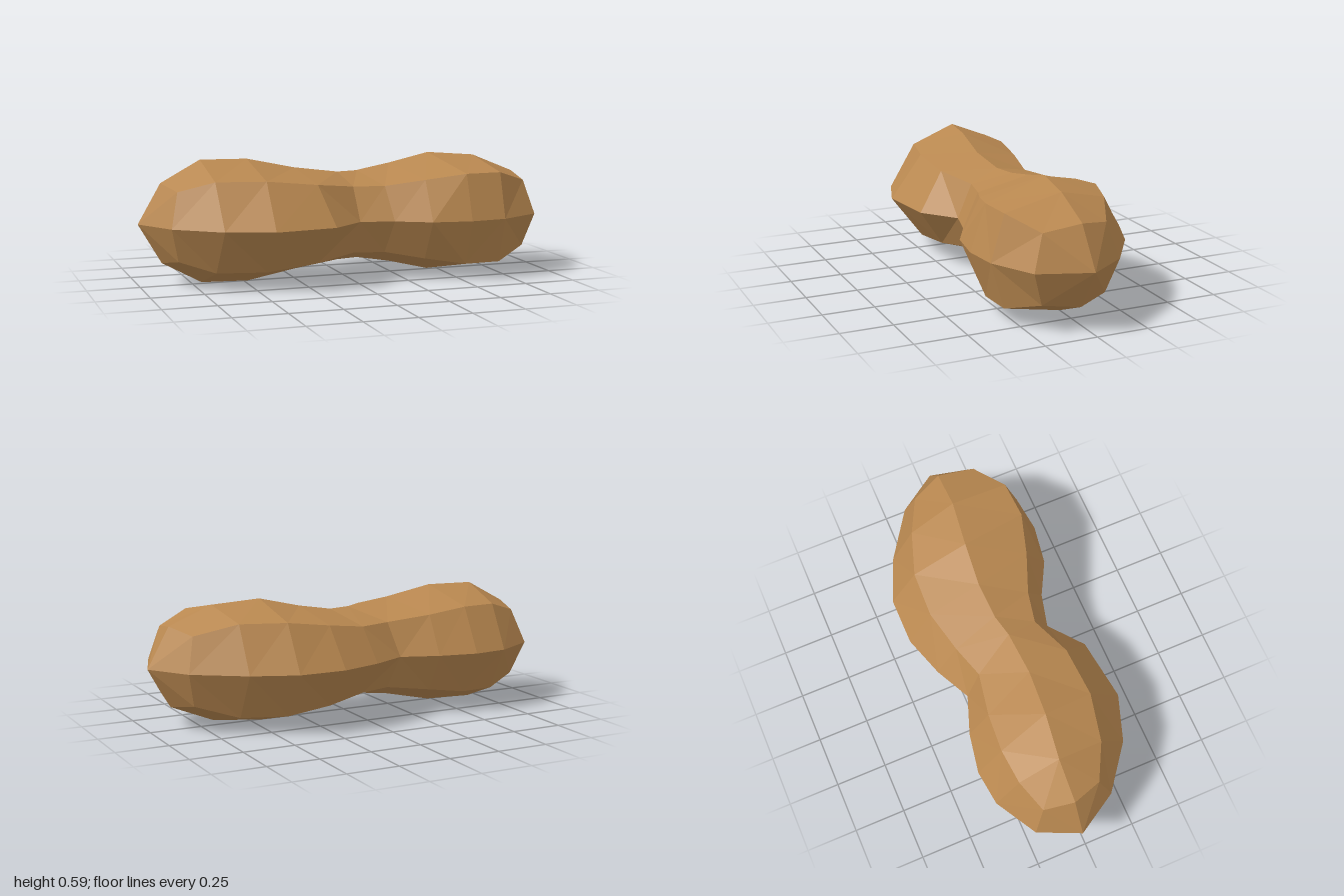
import * as THREE from 'three';

const MID = 0.294; // height of the seam; the shell mirrors above and below it

// Cross-sections from the right end (-x) to the left end (+x).
// Each row: front seam x,z | front shoulder x,z | crown x,z | back shoulder x,z | back seam x,z
const PLAN = [
  [-0.88, 0.17, -0.84, 0.115, -0.89, -0.03, -0.86, -0.175, -0.91, -0.23],
  [-0.67, 0.33, -0.68, 0.195, -0.70, -0.03, -0.71, -0.23, -0.71, -0.345],
  [-0.45, 0.405, -0.45, 0.245, -0.48, 0.0, -0.54, -0.245, -0.54, -0.365],
  [-0.15, 0.365, -0.20, 0.235, -0.25, 0.02, -0.35, -0.23, -0.35, -0.33],
  [0.01, 0.235, 0.0, 0.16, -0.03, 0.01, -0.14, -0.19, -0.17, -0.265],
  [0.17, 0.275, 0.15, 0.19, 0.08, -0.015, 0.02, -0.24, 0.0, -0.35],
  [0.33, 0.36, 0.33, 0.26, 0.25, -0.025, 0.22, -0.29, 0.20, -0.415],
  [0.52, 0.39, 0.52, 0.315, 0.45, -0.01, 0.43, -0.285, 0.43, -0.415],
  [0.70, 0.37, 0.70, 0.305, 0.68, 0.02, 0.64, -0.215, 0.64, -0.33],
  [0.91, 0.26, 0.87, 0.205, 0.89, 0.025, 0.83, -0.125, 0.87, -0.175],
];
// Half-heights above the seam for each section
const CROWN = [0.19, 0.294, 0.294, 0.246, 0.216, 0.216, 0.246, 0.293, 0.276, 0.19];
const SHOULDER = [0.163, 0.212, 0.212, 0.185, 0.16, 0.16, 0.19, 0.218, 0.218, 0.163];

// Eight-sided ring: front seam, over the crown, back seam, under the belly
function makeRing(row, i) {
  const rise = [0, SHOULDER[i], CROWN[i], SHOULDER[i], 0];
  const point = (k, sign) =>
    new THREE.Vector3(row[2 * k], MID + sign * rise[k], row[2 * k + 1]);
  return [
    ...[0, 1, 2, 3, 4].map((k) => point(k, 1)),
    ...[3, 2, 1].map((k) => point(k, -1)),
  ];
}

function shellGeometry() {
  const rings = PLAN.map(makeRing);
  const rightTip = new THREE.Vector3(-1, MID, -0.03);
  const leftTip = new THREE.Vector3(1, MID, 0.015);
  const points = [];
  const last = rings.length - 1;

  for (let k = 0; k < 8; k++) {
    const n = (k + 1) % 8;
    // End caps
    points.push(rightTip, rings[0][k], rings[0][n]);
    points.push(leftTip, rings[last][n], rings[last][k]);
    // Side panels, split along the shorter diagonal
    for (let i = 0; i < last; i++) {
      const a = rings[i][k], b = rings[i + 1][k];
      const c = rings[i + 1][n], d = rings[i][n];
      if (a.distanceTo(c) < b.distanceTo(d)) points.push(a, b, c, a, c, d);
      else points.push(a, b, d, b, c, d);
    }
  }
  const geometry = new THREE.BufferGeometry().setFromPoints(points);
  geometry.computeVertexNormals();
  return geometry;
}

export function createModel() {
  const group = new THREE.Group();
  group.name = 'peanut';

  const shellBrown = new THREE.MeshStandardMaterial({ color: 0xb98850 });
  shellBrown.name = 'shellBrown';
  shellBrown.flatShading = true;

  const shell = new THREE.Mesh(shellGeometry(), shellBrown);
  shell.name = 'shell';
  group.add(shell);
  return group;
}
